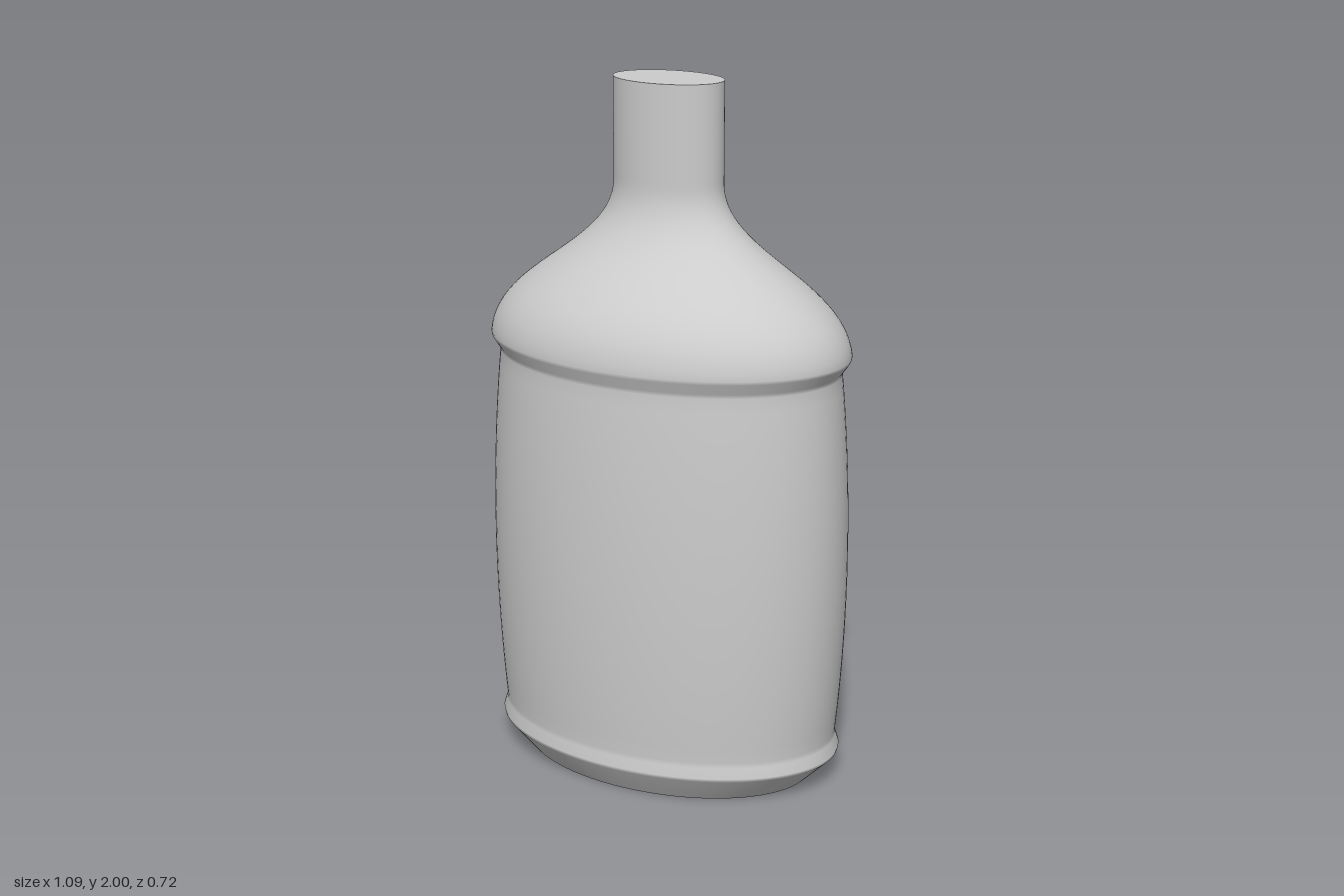
import * as THREE from 'three';

const DEPTH = 2 / 3; // the bottle is an ellipse in plan
const SIDES = 96;

export function createModel() {
  const bottle = new THREE.Group();
  bottle.name = 'bottle';
  const grey = new THREE.MeshStandardMaterial({ color: 0xcccccc });
  grey.name = 'light grey';

  const add = (name, geometry) => {
    geometry.scale(1, 1, DEPTH);
    const mesh = new THREE.Mesh(geometry, grey);
    mesh.name = name;
    bottle.add(mesh);
  };
  const V = (x, y) => new THREE.Vector2(x, y);
  const bezier = (a, b, c, d, n) => new THREE.CubicBezierCurve(a, b, c, d).getPoints(n);

  // Wall profile: chamfered foot, bulging body, shoulder rim, sloping shoulder
  const profile = [
    V(0.445, 0), V(0.526, 0.08), V(0.528, 0.09), V(0.517, 0.12),
    ...bezier(V(0.516, 0.135), V(0.552, 0.48), V(0.552, 0.86), V(0.515, 1.205), 24),
    V(0.518, 1.217), V(0.54, 1.248),
    ...bezier(V(0.542, 1.258), V(0.52, 1.45), V(0.17, 1.52), V(0.163, 1.71), 28),
    V(0.163, 1.73),
  ];
  add('body', new THREE.LatheGeometry(profile, SIDES));

  // Straight neck
  add('neck', new THREE.LatheGeometry([V(0.163, 1.73), V(0.163, 2)], SIDES));

  // Flat ends
  add('neckCap', new THREE.CircleGeometry(0.163, SIDES).rotateX(-Math.PI / 2).translate(0, 2, 0));
  add('base', new THREE.CircleGeometry(0.445, SIDES).rotateX(Math.PI / 2));

  return bottle;
}
